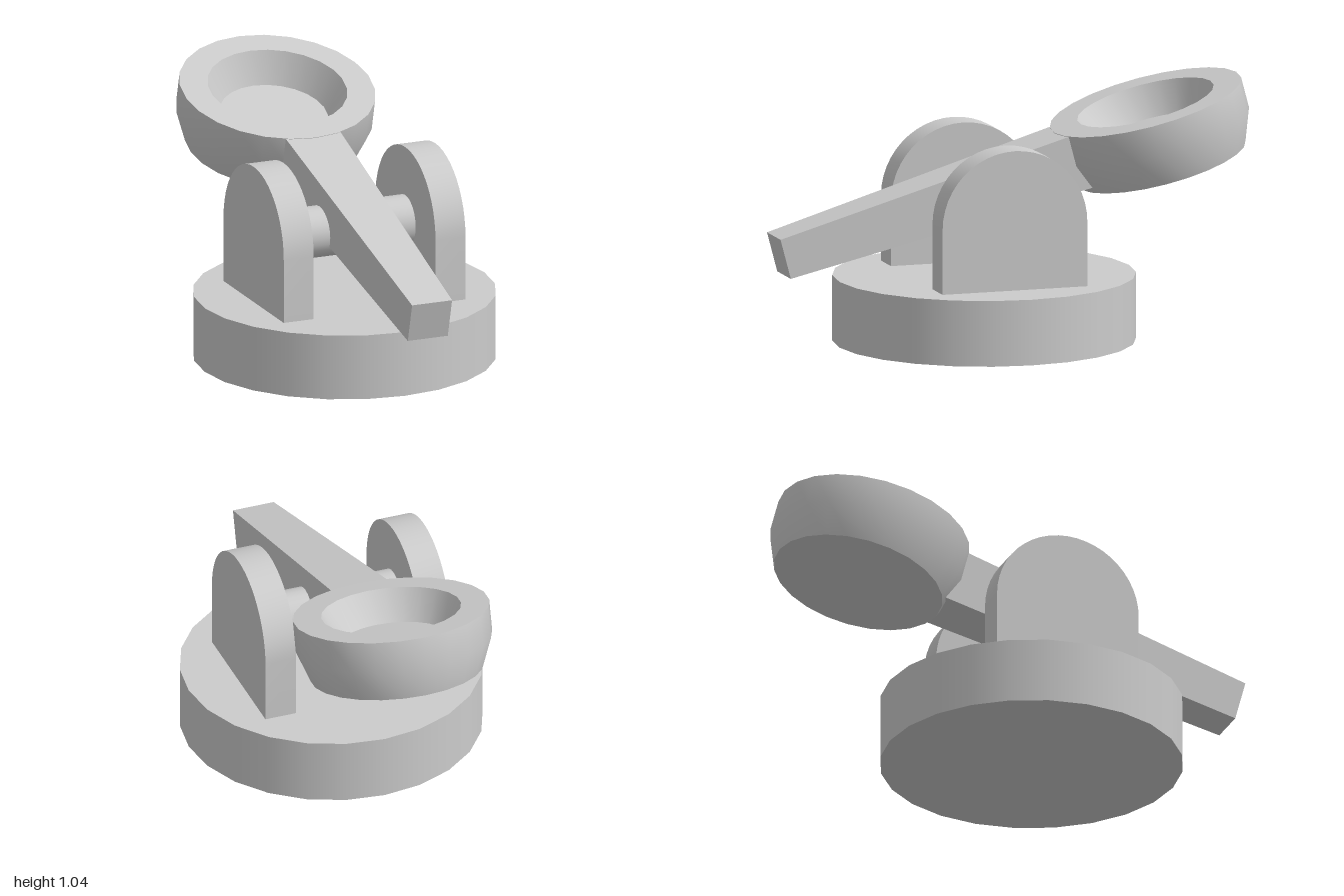
import * as THREE from 'three';
import { toCreasedNormals } from 'three/addons/utils/BufferGeometryUtils.js';

const material = new THREE.MeshStandardMaterial({ color: 0xcccccc });
const SIDES = 24;
const AXLE_Y = 0.535;
const CENTRE_Z = 0.105;

function part(name, geometry, parent) {
  const mesh = new THREE.Mesh(geometry, material);
  mesh.name = name;
  parent.add(mesh);
  return mesh;
}

// Upright with a rounded top, extruded sideways
function uprightGeometry() {
  const r = 0.308, bottom = 0.26, width = 0.132;
  const shape = new THREE.Shape();
  shape.moveTo(-r, bottom);
  shape.lineTo(r, bottom);
  shape.lineTo(r, AXLE_Y);
  shape.absarc(0, AXLE_Y, r, 0, Math.PI, false);
  const g = new THREE.ExtrudeGeometry(shape, { depth: width, bevelEnabled: false, curveSegments: 12 });
  g.translate(0, 0, -width / 2);
  g.rotateY(Math.PI / 2);
  return toCreasedNormals(g, 0.55);
}

// Bar that grows wider and thicker towards the bowl (-z)
function armGeometry() {
  const front = { z: 0.88, w: 0.088, low: 0.005, high: 0.174 };
  const back = { z: -0.46, w: 0.122, low: -0.029, high: 0.207 };
  const g = new THREE.BoxGeometry(2, 2, 2);
  const p = g.attributes.position;
  for (let i = 0; i < p.count; i++) {
    const end = p.getZ(i) > 0 ? front : back;
    p.setXYZ(i, p.getX(i) * end.w, p.getY(i) > 0 ? end.high : end.low, end.z);
  }
  return toCreasedNormals(g, 0.5);
}

// Cup with bevelled underside and a tapered hollow
function bowlGeometry() {
  const profile = [
    [0, -0.054], [0.352, -0.054], [0.4, 0.077], [0.4, 0.207],
    [0.285, 0.207], [0.22, 0.08], [0, 0.08],
  ].map(([x, y]) => new THREE.Vector2(x, y));
  return toCreasedNormals(new THREE.LatheGeometry(profile, SIDES), 0.55);
}

export function createModel() {
  const model = new THREE.Group();
  model.name = 'catapult';

  // Round base
  part('base', new THREE.CylinderGeometry(0.615, 0.615, 0.27, SIDES), model)
    .position.set(0, 0.135, CENTRE_Z);

  // Pair of uprights
  for (const [name, side] of [['leftUpright', 1], ['rightUpright', -1]]) {
    part(name, uprightGeometry(), model).position.set(side * 0.334, 0, CENTRE_Z);
  }

  // Axle between the uprights
  const axle = part('axle', new THREE.CylinderGeometry(0.105, 0.105, 0.56, SIDES), model);
  axle.rotation.z = Math.PI / 2;
  axle.position.set(0, AXLE_Y, CENTRE_Z);

  // Tilted throwing arm, pivoting on the axle
  const lever = new THREE.Group();
  lever.name = 'throwingArm';
  lever.position.set(0, AXLE_Y, CENTRE_Z);
  lever.rotation.x = THREE.MathUtils.degToRad(15);
  part('arm', armGeometry(), lever);
  part('bowl', bowlGeometry(), lever).position.z = -0.766;
  model.add(lever);

  return model;
}
